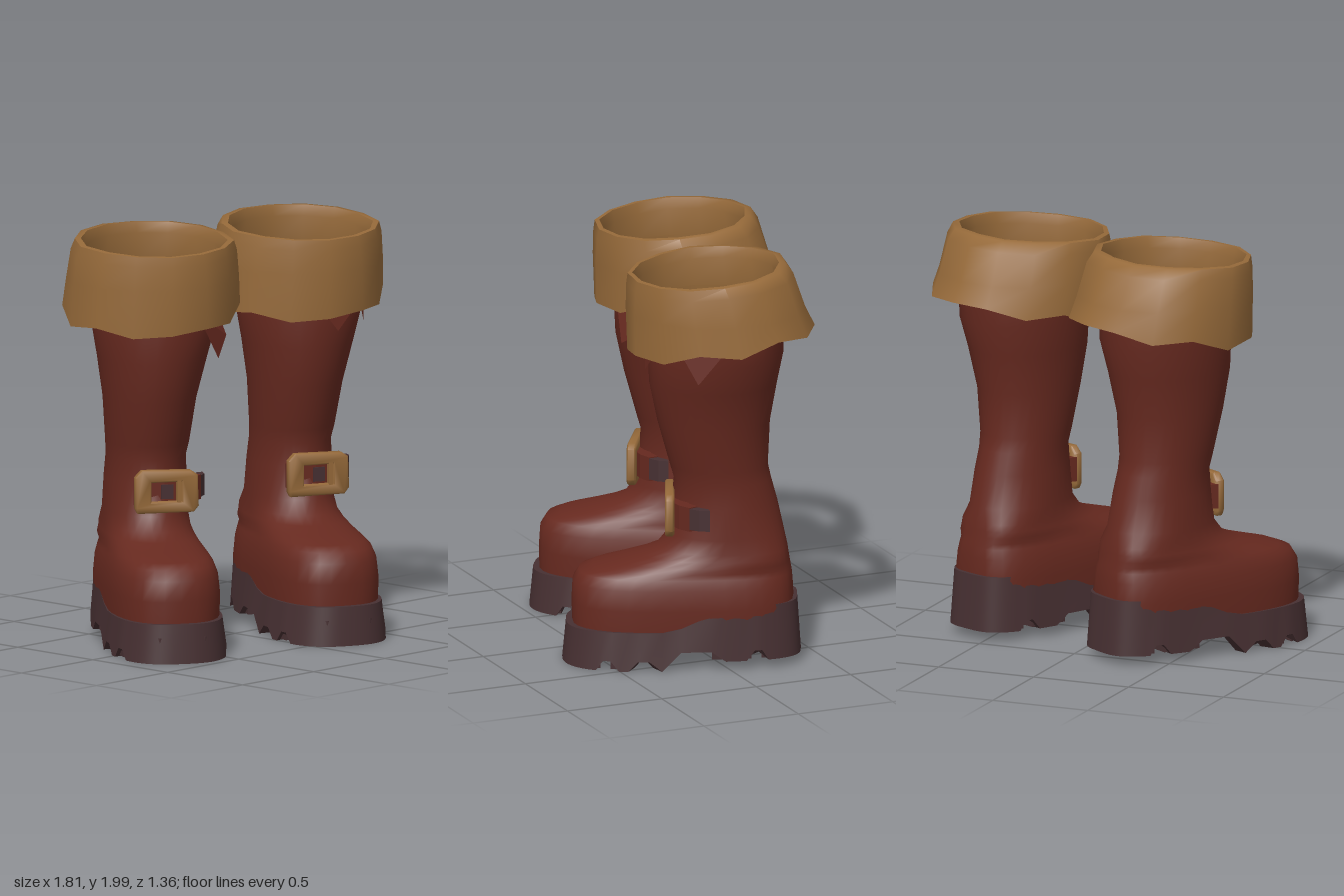
import * as THREE from 'three';
import { toCreasedNormals } from 'three/addons/utils/BufferGeometryUtils.js';

const mat = (name, color) => {
  const m = new THREE.MeshStandardMaterial({ color, side: THREE.DoubleSide });
  m.name = name;
  return m;
};

// Superellipse plan point: t = 0 is the front, turning towards +x
function plan(t, zf, zb, w, xc, p, taper = 0) {
  const c = Math.cos(t), s = Math.sin(t), q = c > 0 ? p : p * 0.75 + (p === 1 ? 0.25 : 0);
  const k = Math.sign(c) * Math.abs(c) ** q;
  return [xc + w * (1 + taper * k) * Math.sign(s) * Math.abs(s) ** q,
    (zf + zb) / 2 + ((zf - zb) / 2) * k];
}

// Joins closed rings of points into a skin
function loft(rows, n, point, crease) {
  const pos = [], idx = [];
  for (let i = 0; i < rows; i++) {
    for (let j = 0; j < n; j++) pos.push(...point(i, (j / n) * Math.PI * 2, j));
  }
  for (let i = 0; i < rows - 1; i++) {
    for (let j = 0; j < n; j++) {
      const k = (j + 1) % n;
      const a = i * n + j, b = i * n + k, c = a + n, d = b + n;
      idx.push(a, b, d, a, d, c);
    }
  }
  const g = new THREE.BufferGeometry();
  g.setAttribute('position', new THREE.Float32BufferAttribute(pos, 3));
  g.setIndex(idx);
  return toCreasedNormals(g, crease);
}

// Upright slab from a floor outline of [x, z] points
function slab(points, y0, y1) {
  const shape = new THREE.Shape(points.map(([x, z]) => new THREE.Vector2(x, -z)));
  const g = new THREE.ExtrudeGeometry(shape, { depth: y1 - y0, bevelEnabled: false });
  return g.rotateX(-Math.PI / 2).translate(0, y0, 0);
}

// Foot and shaft sections: y, front z, back z, half width, centre x, roundness
const SECTIONS = [
  [0.13, 0.545, -0.515, 0.25, 0, 0.75],
  [0.3, 0.55, -0.525, 0.258, 0, 0.75],
  [0.4, 0.545, -0.52, 0.25, 0, 0.78],
  [0.45, 0.515, -0.515, 0.235, 0, 0.8],
  [0.475, 0.45, -0.51, 0.225, 0, 0.82],
  [0.505, 0.34, -0.505, 0.22, 0, 0.86],
  [0.535, 0.23, -0.5, 0.212, 0, 0.9],
  [0.57, 0.14, -0.495, 0.207, 0, 0.95],
  [0.64, 0.085, -0.48, 0.203, 0, 1],
  [0.8, 0.065, -0.445, 0.198, 0, 1],
  [0.91, 0.055, -0.415, 0.192, 0, 1],
  [0.98, 0.075, -0.4, 0.202, 0.003, 1],
  [1.2, 0.135, -0.41, 0.225, 0.008, 1],
  [1.4, 0.175, -0.445, 0.265, 0.02, 1],
  [1.55, 0.18, -0.475, 0.3, 0.032, 1],
  [1.66, 0.175, -0.475, 0.302, 0.032, 1],
];

// Cuff rings: half width, half depth, centre z, y; the rim sits forward of the flared hem
const CUFF = [[0.43, 0.455, -0.175, 1.62], [0.418, 0.435, -0.15, 1.78], [0.402, 0.405, -0.125, 1.92],
  [0.385, 0.382, -0.11, 1.97], [0.355, 0.355, -0.105, 1.972], [0.335, 0.34, -0.105, 1.92],
  [0.345, 0.36, -0.12, 1.78]];

// Sole outline: front z, back z, half width, roundness and taper
const SOLE = { zf: 0.595, zb: -0.56, w: 0.275, p: 0.75, taper: 0.15 };
const soleHalf = (z) => {
  const u = (z - (SOLE.zf + SOLE.zb) / 2) / ((SOLE.zf - SOLE.zb) / 2);
  const p = u > 0 ? SOLE.p : SOLE.p * 0.75;
  return SOLE.w * (1 + SOLE.taper * u) * Math.sqrt(1 - Math.abs(u) ** (2 / p)) ** p;
};
const soleTop = (z) => 0.195 + 0.125 * THREE.MathUtils.smoothstep(-z, -0.12, 0.28);
// Tread edge: raised heel, arch and notches between the lugs
function soleBottom(z) {
  if (z > -0.13 && z < 0.04) return 0.1;
  const notch = [-0.35, 0.2, 0.38].some((v) => Math.abs(z - v) < 0.03) ? 0.05 : 0;
  return (z < 0 ? 0.05 : 0.005) + notch;
}

export function createModel() {
  const leather = mat('red leather', 0x66291f);
  const tan = mat('tan leather', 0x966a3a);
  const rubber = mat('plum rubber', 0x473032);
  const model = new THREE.Group();

  function makeBoot(name, x, z, turn, folds) {
    const boot = new THREE.Group();
    boot.name = name;
    boot.position.set(x, 0, z);
    boot.rotation.y = turn;
    const add = (part, geo, m) => {
      const mesh = new THREE.Mesh(geo, m);
      mesh.name = part;
      boot.add(mesh);
      return mesh;
    };

    // Foot and shaft with a ragged top
    add('upper', loft(SECTIONS.length, 32, (i, t, j) => {
      const [y, zf, zb, w, xc, p] = SECTIONS[i];
      const [px, pz] = plan(t, zf, zb, w, xc, p, i < 5 ? 0.1 : 0);
      const rag = i === SECTIONS.length - 1 ? [0.02, 0.03, 0, -0.04, -0.03, 0.01, 0.03, -0.01][j % 8] : 0;
      return [px, y + rag, pz];
    }, 1), leather);

    // Turned-down cuff with a wavy hem
    add('cuff', loft(CUFF.length, 14, (i, t, j) => {
      const [rx, rz, zc, y] = CUFF[i];
      const wob = 1 + 0.018 * Math.sin(j * 2.3 + i * 0.4);
      const hem = i === 0 ? -0.065 * Math.cos(t + 0.3) + 0.022 * Math.sin(j * 2.7) : 0;
      const tilt = i > 1 && i < 6 ? -0.025 * Math.cos(t) : 0;
      return [0.02 + rx * wob * Math.sin(t), y + hem + tilt, zc + rz * wob * Math.cos(t)];
    }, 1.1), tan);

    // Torn folds hanging under the cuff: [angle, y, radius] corners
    const fold = ([deg, y, r]) => {
      const a = deg * Math.PI / 180;
      return [0.032 + (r - 0.02) * Math.sin(a), y, -0.148 + (r + 0.01) * Math.cos(a)];
    };
    const fg = new THREE.BufferGeometry();
    fg.setAttribute('position', new THREE.Float32BufferAttribute(folds.flat().flatMap(fold), 3));
    fg.computeVertexNormals();
    add('tornFold', fg, leather);

    // Sole rim: inner wall, tread edge, outer wall and ledge
    const inset = [0.07, 0.07, 0.0, 0.018, 0.06];
    add('soleRim', loft(5, 72, (i, t) => {
      const d = inset[i];
      const [px, pz] = plan(t, SOLE.zf - d, SOLE.zb + d, SOLE.w - d, 0, SOLE.p, SOLE.taper);
      const y = i === 0 ? 0.17 : i < 3 ? soleBottom(pz) : soleTop(pz);
      return [px, y, pz];
    }, 0.6), rubber);

    // Tread bars and insole plates; the arch stays open
    const bar = (part, z0, z1, y0, y1) => {
      const side = [];
      for (let k = 0; k <= 6; k++) {
        const zz = z0 + ((z1 - z0) * k) / 6;
        side.push([Math.max(soleHalf(zz) - 0.025, 0.02), zz]);
      }
      const other = side.map(([a, b]) => [-a, b]).reverse();
      add(part, slab([...side, ...other], y0, y1), rubber);
    };
    bar('heelPlate', -0.54, -0.12, 0.12, 0.19);
    bar('heelTreadBack', -0.54, -0.37, 0.055, 0.13);
    bar('heelTreadFront', -0.32, -0.13, 0.055, 0.13);
    bar('toePlate', 0.27, 0.57, 0.07, 0.13);
    bar('toeTreadBack', 0.27, 0.36, 0.01, 0.08);
    bar('toeTreadFront', 0.41, 0.57, 0.01, 0.08);

    // Ankle strap with a dark loose end
    add('strap', slab([[-0.12, 0.06], [0.03, 0.075], [0.12, 0.07], [0.19, 0.03], [0.235, -0.02],
      [0.205, -0.06], [0.16, -0.02], [0.1, 0.0], [-0.1, 0.0]], 0.7, 0.82), leather);
    add('strapTip', slab([[0.235, -0.02], [0.265, -0.07], [0.268, -0.12],
      [0.24, -0.115], [0.205, -0.06]], 0.71, 0.815), rubber);
    add('strapHole', new THREE.BoxGeometry(0.06, 0.07, 0.008), rubber).position.set(0.045, 0.76, 0.077);

    // Buckle frame and prong
    const frame = new THREE.Shape([[-0.14, -0.095], [0.13, -0.095], [0.15, -0.07], [0.145, 0.075],
      [0.115, 0.095], [-0.12, 0.1], [-0.15, 0.07], [-0.15, -0.075]].map((v) => new THREE.Vector2(...v)));
    frame.holes.push(new THREE.Path([[-0.085, -0.055], [-0.085, 0.055], [0.08, 0.055], [0.08, -0.055]]
      .map((v) => new THREE.Vector2(...v))));
    const bg = new THREE.ExtrudeGeometry(frame, {
      depth: 0.03, bevelThickness: 0.008, bevelSize: 0.008, bevelSegments: 1 });
    add('buckle', toCreasedNormals(bg, 1), tan).position.set(0.04, 0.762, 0.06);
    add('bucklePin', new THREE.BoxGeometry(0.02, 0.12, 0.025), tan).position.set(0.1, 0.762, 0.085);
    model.add(boot);
  }

  makeBoot('leftBoot', 0.38, 0.1, -0.42, [
    [[-5, 1.6, 0.335], [12, 1.48, 0.34], [30, 1.57, 0.34]],
    [[60, 1.62, 0.33], [76, 1.47, 0.335], [98, 1.64, 0.345]]]);
  makeBoot('rightBoot', -0.46, -0.1, -0.57, [
    [[28, 1.64, 0.33], [48, 1.41, 0.37], [72, 1.5, 0.37]],
    [[28, 1.64, 0.33], [72, 1.5, 0.37], [108, 1.66, 0.35]]]);
  return model;
}
